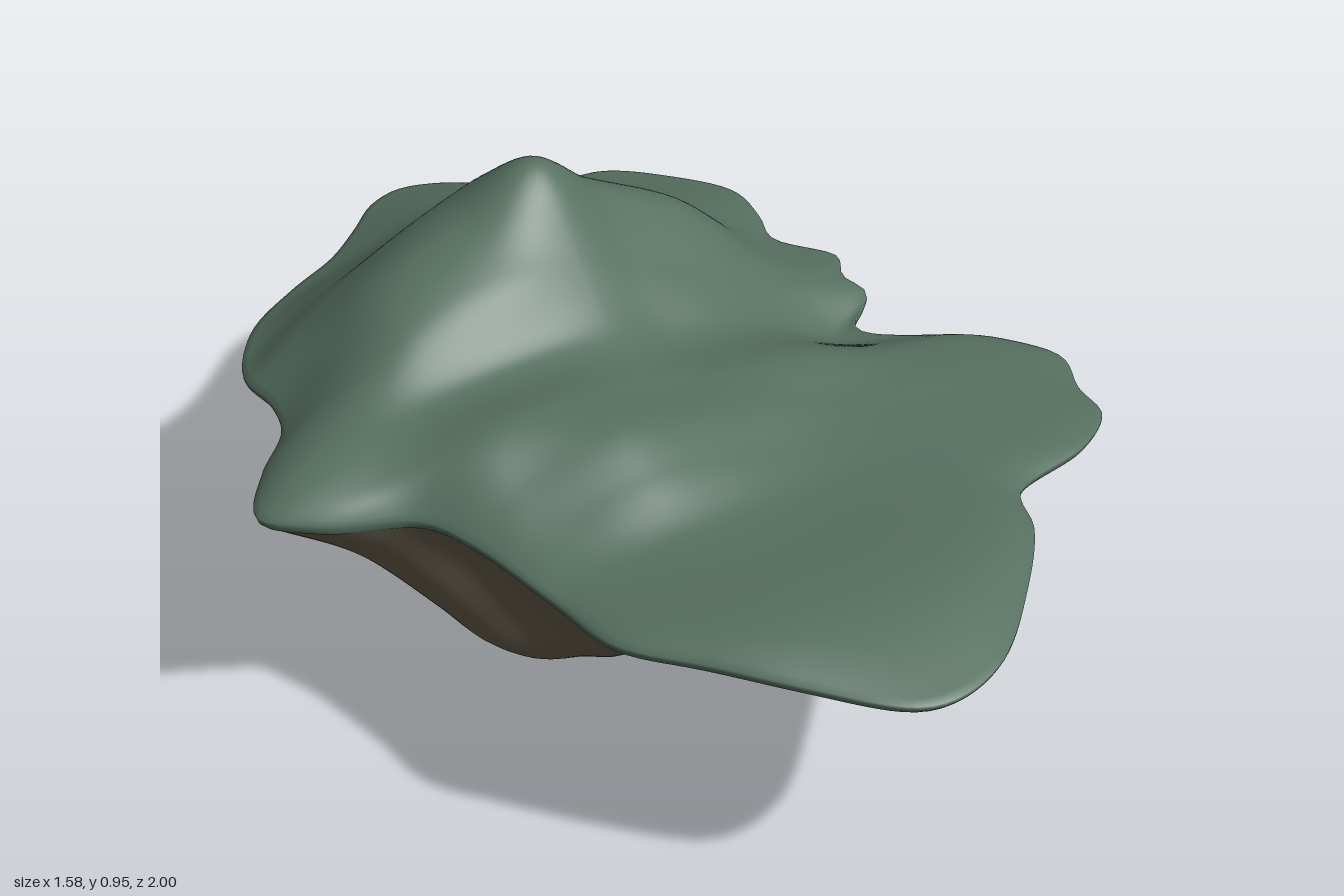
import * as THREE from 'three';
import { mergeVertices } from 'three/addons/utils/BufferGeometryUtils.js';

const { lerp, clamp } = THREE.MathUtils;
const SEGMENTS = 240;

// Shoreline as x, z pairs, clockwise seen from above, starting at the back
const SHORE = [
  0, -1, 0.08, -0.97, 0.18, -0.89, 0.29, -0.84, 0.4, -0.83, 0.5, -0.75, 0.59, -0.62, 0.58, -0.5,
  0.555, -0.41, 0.635, -0.3, 0.6, -0.22, 0.615, -0.16, 0.535, -0.08, 0.6, 0.02, 0.72, 0.13, 0.79, 0.25,
  0.75, 0.36, 0.735, 0.45, 0.64, 0.52, 0.44, 0.585, 0.39, 0.69, 0.27, 0.83, 0.12, 0.96, 0, 1,
  -0.08, 0.985, -0.22, 0.855, -0.34, 0.71, -0.43, 0.58, -0.455, 0.4, -0.5, 0.2, -0.56, 0.09, -0.72, 0.01,
  -0.795, -0.07, -0.73, -0.18, -0.64, -0.28, -0.61, -0.38, -0.61, -0.5, -0.52, -0.65, -0.38, -0.75,
  -0.26, -0.81, -0.17, -0.885, -0.08, -0.97,
];

// Terrain heights: one row per z, one column per x
const XS = [-0.8, -0.6, -0.4, -0.2, -0.04, 0.1, 0.3, 0.5, 0.8];
const ZS = [-1, -0.75, -0.57, -0.47, -0.34, -0.2, -0.08, 0.08, 0.2, 0.3, 0.42, 0.75, 1];
const HEIGHTS = [
  [0.55, 0.55, 0.55, 0.55, 0.555, 0.555, 0.55, 0.55, 0.55],
  [0.54, 0.55, 0.57, 0.61, 0.64, 0.63, 0.59, 0.56, 0.54],
  [0.54, 0.57, 0.66, 0.73, 0.765, 0.72, 0.66, 0.58, 0.54],
  [0.55, 0.61, 0.73, 0.83, 0.875, 0.81, 0.71, 0.58, 0.54],
  [0.57, 0.62, 0.785, 0.87, 0.945, 0.845, 0.74, 0.58, 0.53],
  [0.60, 0.65, 0.765, 0.815, 0.805, 0.74, 0.65, 0.57, 0.52],
  [0.605, 0.65, 0.685, 0.705, 0.70, 0.65, 0.60, 0.51, 0.48],
  [0.59, 0.60, 0.69, 0.705, 0.675, 0.65, 0.625, 0.575, 0.55],
  [0.57, 0.57, 0.635, 0.695, 0.67, 0.64, 0.605, 0.585, 0.56],
  [0.57, 0.57, 0.595, 0.65, 0.635, 0.61, 0.595, 0.58, 0.56],
  [0.565, 0.57, 0.575, 0.595, 0.595, 0.59, 0.59, 0.58, 0.56],
  [0.57, 0.575, 0.60, 0.61, 0.61, 0.61, 0.60, 0.58, 0.565],
  [0.57, 0.57, 0.57, 0.57, 0.57, 0.57, 0.57, 0.57, 0.57],
];

// Underside height against distance from the centre, towards each side
const STEPS = [0, 0.05, 0.1, 0.2, 0.3, 0.4, 0.5, 0.6, 0.8, 1];
const LEFT = [0, 0.015, 0.032, 0.055, 0.08, 0.105, 0.145, 0.245, 0.42, 0.53];
const RIGHT = [0, 0.015, 0.042, 0.045, 0.053, 0.075, 0.135, 0.23, 0.41, 0.53];
const FRONT = [0, 0.012, 0.065, 0.165, 0.215, 0.275, 0.345, 0.395, 0.465, 0.53];
const BACK = [0, 0.012, 0.075, 0.14, 0.175, 0.22, 0.265, 0.315, 0.42, 0.53];

// Smooth cubic interpolation through unevenly spaced samples
function smooth(xs, ys, x) {
  const last = xs.length - 1;
  x = clamp(x, xs[0], xs[last]);
  let i = 0;
  while (i < last - 1 && x > xs[i + 1]) i++;
  const slope = (k) => {
    const a = Math.max(k - 1, 0), b = Math.min(k + 1, last);
    return (ys[b] - ys[a]) / (xs[b] - xs[a]);
  };
  const h = xs[i + 1] - xs[i], t = (x - xs[i]) / h, s = 1 - t;
  return ys[i] * (1 + 2 * t) * s * s + slope(i) * h * t * s * s
    + ys[i + 1] * t * t * (3 - 2 * t) - slope(i + 1) * h * t * t * s;
}

const terrain = (x, z) => smooth(ZS, HEIGHTS.map((row) => smooth(XS, row, x)), z);

// Joins rings of points (ring, shore index) => [x, y, z] into one smooth surface
function ringSurface(ringCount, pointAt) {
  const positions = [], index = [];
  for (let i = 0; i < ringCount; i++) {
    for (let j = 0; j < SEGMENTS; j++) positions.push(...pointAt(i, j));
  }
  for (let i = 0; i < ringCount - 1; i++) {
    for (let j = 0; j < SEGMENTS; j++) {
      const k = (j + 1) % SEGMENTS;
      const a = i * SEGMENTS + j, d = i * SEGMENTS + k;
      const b = a + SEGMENTS, c = d + SEGMENTS;
      index.push(a, c, b, a, d, c);
    }
  }
  let geometry = new THREE.BufferGeometry();
  geometry.setAttribute('position', new THREE.Float32BufferAttribute(positions, 3));
  geometry.setIndex(index);
  geometry = mergeVertices(geometry, 1e-5);
  geometry.computeVertexNormals();
  return geometry;
}

export function createModel() {
  const island = new THREE.Group();
  island.name = 'floatingIsland';

  const points = [];
  for (let i = 0; i < SHORE.length; i += 2) points.push(new THREE.Vector3(SHORE[i], 0, SHORE[i + 1]));
  const shore = new THREE.CatmullRomCurve3(points, true).getSpacedPoints(SEGMENTS).slice(0, SEGMENTS);
  shore.forEach((p) => { p.y = lerp(terrain(p.x, p.z), 0.535, 0.5); });

  // Softer outline that the rock settles into below the shore
  const REACH = 12;
  const softShore = shore.map((_, j) => {
    const mean = new THREE.Vector3();
    for (let k = -REACH; k <= REACH; k++) mean.add(shore[(j + k + SEGMENTS) % SEGMENTS]);
    return mean.divideScalar(2 * REACH + 1);
  });

  // Grassy top with a mountain, a terrace and a rounded lip turned under the edge
  const TOP = 60, LIP = 5, INSET = 0.98, LIP_DROP = 0.022;
  const grass = ringSurface(TOP + LIP + 1, (i, j) => {
    const p = shore[j];
    if (i <= TOP) {
      const t = i / TOP, x = p.x * t, z = p.z * t;
      return [x, lerp(terrain(x, z), p.y, t ** 18), z];
    }
    const a = ((i - TOP) / LIP) * Math.PI / 2;
    const t = 1 - (1 - INSET) * (1 - Math.cos(a));
    return [p.x * t, p.y - LIP_DROP * Math.sin(a), p.z * t];
  });
  const grassMesh = new THREE.Mesh(grass, new THREE.MeshStandardMaterial({ color: 0x567061 }));
  grassMesh.name = 'grassTop';

  // Rocky underside: a keel running left to right, tapering to a small foot
  const ROCK = 50;
  const rock = ringSurface(ROCK + 1, (i, j) => {
    const t = 1 - i / ROCK, p = shore[j];
    const q = softShore[j].clone().lerp(p, t);
    const angle = Math.atan2(q.z, q.x);
    const keel = Math.abs(Math.cos(angle)) ** 1.6;
    const side = lerp(smooth(STEPS, RIGHT, t), smooth(STEPS, LEFT, t), (1 + Math.cos(angle)) / 2);
    const flank = lerp(smooth(STEPS, BACK, t), smooth(STEPS, FRONT, t), (1 + Math.sin(angle)) / 2);
    const crease = 0.005 * Math.sin(9 * angle + 4 * t) * Math.sin(Math.PI * t) ** 2;
    const y = lerp(flank, side, keel) * (p.y - LIP_DROP) / 0.53 + crease;
    return [q.x * t * INSET, Math.max(y, 0), q.z * t * INSET];
  });
  const rockMesh = new THREE.Mesh(rock, new THREE.MeshStandardMaterial({ color: 0x6b6251 }));
  rockMesh.name = 'rockUnderside';

  island.add(grassMesh, rockMesh);
  return island;
}
